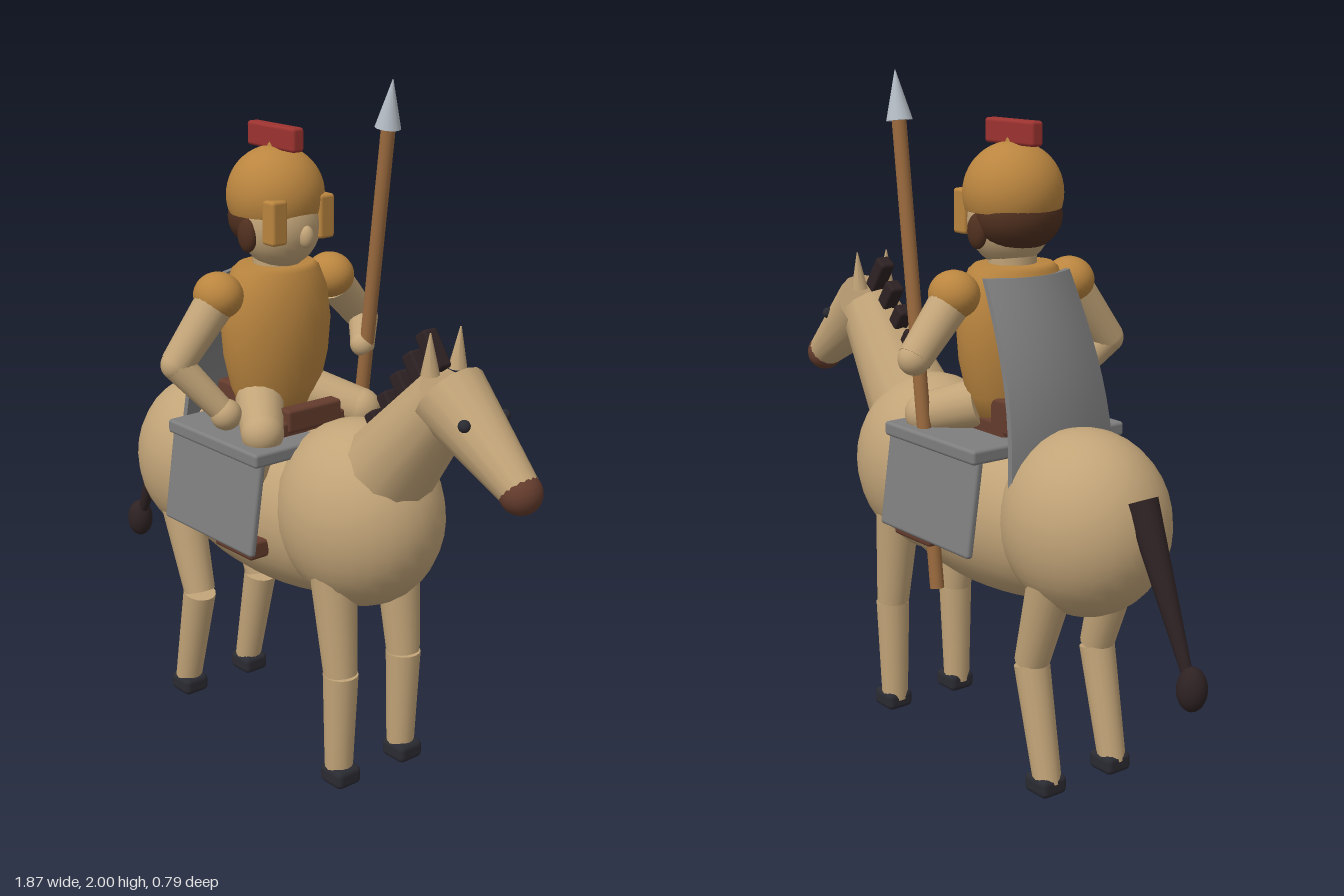
import * as THREE from 'three';
import { RoundedBoxGeometry } from 'three/addons/geometries/RoundedBoxGeometry.js';

const mat = (name, color) => {
  const m = new THREE.MeshStandardMaterial({ color });
  m.name = name;
  return m;
};

export function createModel() {
  const tan = mat('tan', 0xc2a478), bronze = mat('bronze', 0xba853f), dark = mat('darkMane', 0x2e2223);
  const brown = mat('leatherBrown', 0x643c2d), hairBrown = mat('hairBrown', 0x50301f);
  const gray = mat('clothGray', 0x7e7e7e), steel = mat('steel', 0xb4bcc4), red = mat('red', 0x9c3330);
  const wood = mat('wood', 0x9a6a3e), hoofMat = mat('hoofBlack', 0x2a2a32);

  const root = new THREE.Group();
  root.name = 'mountedSpearman';
  const V = (a) => new THREE.Vector3(...a);

  const add = (name, geo, m, p = [0, 0, 0], parent = root) => {
    const mesh = new THREE.Mesh(geo, m);
    mesh.name = name;
    mesh.position.set(...p);
    parent.add(mesh);
    return mesh;
  };
  const group = (name) => {
    const g = new THREE.Group();
    g.name = name;
    root.add(g);
    return g;
  };
  const ball = (name, m, p, r, parent) => {
    const s = Array.isArray(r) ? r : [r, r, r];
    const mesh = add(name, new THREE.SphereGeometry(1, 28, 18), m, p, parent);
    mesh.scale.set(...s);
    return mesh;
  };
  const box = (name, m, p, s, parent, r = 0.01) =>
    add(name, new RoundedBoxGeometry(...s, 2, r), m, p, parent);
  // Tapered round limb running from point a to point b
  const limb = (name, m, a, b, ra, rb, parent, sides = 16) => {
    const d = V(b).sub(V(a));
    const mesh = add(name, new THREE.CylinderGeometry(rb, ra, d.length(), sides), m,
      V(a).addScaledVector(d, 0.5).toArray(), parent);
    mesh.quaternion.setFromUnitVectors(new THREE.Vector3(0, 1, 0), d.normalize());
    return mesh;
  };

  // Horse body
  const horse = group('horse');
  ball('haunch', tan, [-0.46, 0.785, 0], [0.255, 0.265, 0.232], horse);
  ball('chest', tan, [0.25, 0.805, 0], [0.265, 0.275, 0.23], horse);
  ball('barrel', tan, [-0.09, 0.755, 0], [0.55, 0.255, 0.225], horse);
  limb('neck', tan, [0.38, 0.98, 0], [0.605, 1.24, 0], 0.135, 0.092, horse, 12);

  // Horse head
  limb('head', tan, [0.602, 1.243, 0], [0.875, 1.045, 0], 0.107, 0.055, horse, 16);
  ball('muzzle', brown, [0.873, 1.043, 0], 0.058, horse);
  for (const s of [1, -1]) {
    ball('horseEye', hoofMat, [0.735, 1.203, s * 0.073], 0.017, horse);
    limb('ear', tan, [0.58, 1.3, s * 0.05], [0.583, 1.415, s * 0.055], 0.026, 0.002, horse, 8);
  }

  // Mane tufts standing square to the neck
  for (let i = 0; i < 5; i++) {
    const tuft = box('maneTuft', dark, [0.337 + i * 0.05, 1.075 + i * 0.068, 0], [0.048, 0.115, 0.05], horse);
    tuft.rotation.z = 0.62;
  }

  // Tail
  limb('tail', dark, [-0.685, 0.9, 0], [-0.885, 0.45, 0], 0.046, 0.014, horse);
  ball('tailTuft', dark, [-0.895, 0.435, 0], [0.042, 0.062, 0.042], horse);

  // Horse legs
  const legs = [
    ['front', [0.275, 0.68], [0.312, 0.352], [0.313, 0.352], [0.307, 0.03]],
    ['rear', [-0.475, 0.68], [-0.38, 0.375], [-0.38, 0.37], [-0.455, 0.03]],
  ];
  for (const [kind, hip, knee, shinTop, foot] of legs) {
    for (const s of [1, -1]) {
      const z = s * 0.122;
      limb(kind + 'UpperLeg', tan, [...hip, z], [...knee, z], 0.07, 0.05, horse);
      limb(kind + 'LowerLeg', tan, [...shinTop, z], [...foot, z], 0.052, 0.041, horse);
      box(kind + 'Hoof', hoofMat, [foot[0] + 0.009, 0.029, z], [0.095, 0.058, 0.09], horse, 0.018);
    }
  }

  // Saddle cloth and side panels
  const tack = group('tack');
  box('saddleCloth', gray, [-0.095, 0.978, 0], [0.43, 0.042, 0.55], tack);
  for (const s of [1, -1]) {
    const panel = box('sidePanel', gray, [-0.095, 0.843, s * 0.264], [0.425, 0.305, 0.024], tack);
    panel.rotation.x = -s * 0.14;
  }
  box('saddleSeat', brown, [-0.1, 1.015, 0], [0.29, 0.05, 0.24], tack);
  box('cantle', brown, [-0.225, 1.055, 0], [0.09, 0.1, 0.24], tack);
  box('pommel', brown, [0.025, 1.04, 0], [0.05, 0.07, 0.2], tack);

  // Rider torso
  const rider = group('rider');
  const profile = [[0, 1.0], [0.11, 1.02], [0.145, 1.1], [0.168, 1.2], [0.176, 1.3],
    [0.165, 1.39], [0.138, 1.455], [0.12, 1.47], [0, 1.47]];
  const torso = add('cuirass', new THREE.LatheGeometry(profile.map((p) => new THREE.Vector2(...p)), 28),
    bronze, [-0.135, 0, 0], rider);
  torso.scale.x = 0.79;

  // Arms
  const arms = [
    [1, [-0.155, 1.215, 0.345], [-0.07, 1.065, 0.235], 0.046],
    [-1, [-0.15, 1.24, -0.355], [0.0, 1.21, -0.222], 0.037],
  ];
  for (const [s, elbow, hand, handR] of arms) {
    ball('shoulderGuard', bronze, [-0.135, 1.4, s * 0.208], [0.077, 0.068, 0.07], rider);
    limb('upperArm', tan, [-0.135, 1.37, s * 0.23], elbow, 0.058, 0.048, rider);
    ball('elbow', tan, elbow, 0.046, rider);
    limb('forearm', tan, elbow, hand, 0.046, 0.036, rider);
    ball('hand', tan, hand, handR, rider);
  }

  // Rider legs, tucked behind the side panels
  for (const s of [1, -1]) {
    limb('thigh', tan, [-0.1, 1.07, s * 0.09], [0.035, 1.025, s * 0.185], 0.072, 0.062, rider);
    ball('knee', tan, [0.035, 1.025, s * 0.185], 0.062, rider);
    limb('shin', tan, [0.03, 1.0, s * 0.19], [-0.04, 0.71, s * 0.225], 0.05, 0.035, rider);
    box('sandal', brown, [-0.003, 0.692, s * 0.235], [0.175, 0.055, 0.07], rider);
  }

  // Rider head and helmet
  ball('face', tan, [-0.115, 1.59, 0], [0.125, 0.133, 0.118], rider);
  limb('neck', tan, [-0.13, 1.44, 0], [-0.13, 1.52, 0], 0.07, 0.07, rider);
  ball('nose', tan, [0.008, 1.565, 0], [0.022, 0.033, 0.022], rider);
  ball('hair', hairBrown, [-0.158, 1.605, 0], [0.113, 0.102, 0.13], rider);
  const dome = add('helmet', new THREE.SphereGeometry(0.143, 32, 16, 0, Math.PI * 2, 0, Math.PI * 0.61),
    bronze, [-0.133, 1.667, 0], rider);
  dome.material.side = THREE.DoubleSide;
  for (const s of [1, -1]) {
    box('cheekGuard', bronze, [-0.028, 1.612, s * 0.086], [0.055, 0.128, 0.055], rider);
    ball('ear', hairBrown, [-0.118, 1.565, s * 0.115], [0.036, 0.05, 0.022], rider);
  }
  limb('crestBase', bronze, [-0.133, 1.78, 0], [-0.133, 1.825, 0], 0.03, 0.02, rider);
  box('crest', red, [-0.133, 1.834, 0], [0.215, 0.07, 0.042], rider);

  // Cape: a slab bowed backwards and flared toward the hem
  const capeGeo = new THREE.BoxGeometry(0.018, 1, 2, 1, 10, 10);
  const pos = capeGeo.attributes.position;
  for (let i = 0; i < pos.count; i++) {
    const v = 0.5 - pos.getY(i), u = pos.getZ(i);
    const bow = -0.042 * Math.sin(Math.PI * v);
    pos.setXYZ(i, pos.getX(i) - 0.24 - 0.14 * v + bow + 0.045 * u * u * (1 - 0.6 * v),
      1.445 - 0.59 * v, u * (0.15 + 0.04 * v));
  }
  capeGeo.computeVertexNormals();
  add('cape', capeGeo, gray, [0, 0, 0], rider);

  // Spear
  const spear = group('spear');
  limb('spearShaft', wood, [-0.07, 0.53, -0.226], [0.097, 1.87, -0.226], 0.021, 0.021, spear);
  limb('spearHead', steel, [0.094, 1.862, -0.226], [0.113, 2.0, -0.226], 0.038, 0.001, spear, 16);

  return root;
}
